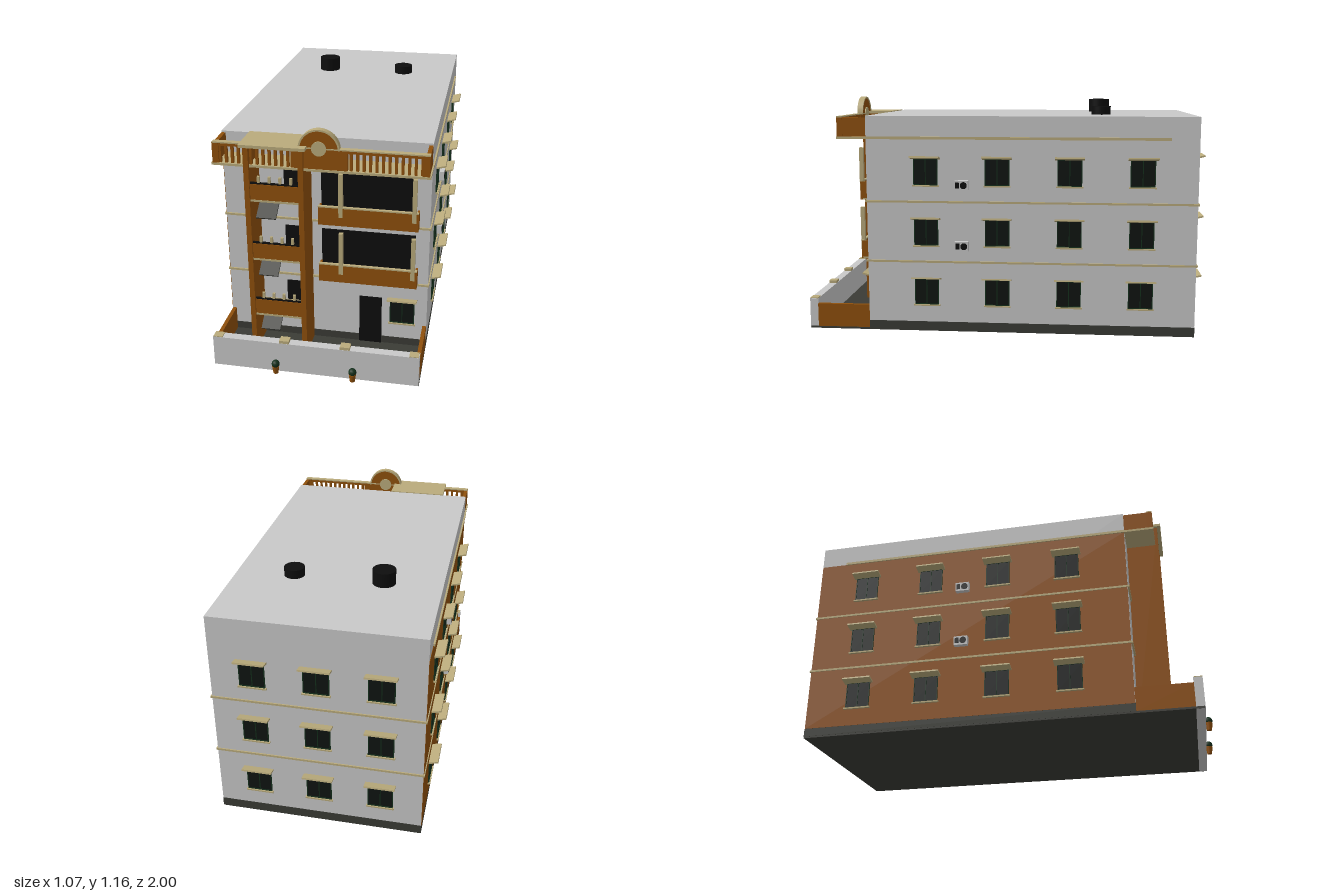
import * as THREE from 'three';

const mat = (name, color) => {
  const m = new THREE.MeshStandardMaterial({ color });
  m.name = name;
  return m;
};

export function createModel() {
  const model = new THREE.Group();
  model.name = 'apartmentBuilding';
  const white = mat('wallWhite', 0xc8c8c8);
  const brown = mat('paintBrown', 0x8f500c);
  const beige = mat('trimBeige', 0xbaab7c);
  const grey = mat('darkGrey', 0x3a3b35);
  const black = mat('black', 0x0e0e0e);
  const glass = mat('glass', 0x0f1411);
  const green = mat('darkGreen', 0x14301c);

  // box given by its limits on each axis
  const box = (name, m, x0, x1, y0, y1, z0, z1, parent = model) => {
    const mesh = new THREE.Mesh(new THREE.BoxGeometry(x1 - x0, y1 - y0, z1 - z0), m);
    mesh.position.set((x0 + x1) / 2, (y0 + y1) / 2, (z0 + z1) / 2);
    mesh.name = name;
    parent.add(mesh);
    return mesh;
  };
  const cylinder = (name, m, rTop, rBottom, h, x, y, z, parent = model) => {
    const mesh = new THREE.Mesh(new THREE.CylinderGeometry(rTop, rBottom, h, 24), m);
    mesh.position.set(x, y + h / 2, z);
    mesh.name = name;
    parent.add(mesh);
    return mesh;
  };
  const floors = [0, 0.3, 0.6];

  // main block, plinth and ground slab
  box('mainBlock', white, -0.49, 0.49, 0.045, 1.075, -0.955, 0.66);
  box('plinth', grey, -0.491, 0.491, 0.008, 0.048, -0.956, 0.661);
  box('groundSlab', grey, -0.49, 0.49, 0, 0.01, -0.955, 0.965);
  box('rightSidePaint', brown, -0.492, -0.489, 0.048, 0.965, -0.954, 0.659);

  // floor bands and cornice
  for (const y of [0.35, 0.65]) box('floorBand', beige, -0.496, 0.496, y, y + 0.01, -0.961, 0.668);
  for (const s of [-1, 1]) {
    const x = s * 0.4935;
    box('sideCornice', beige, x - 0.0045, x + 0.0045, 0.962, 0.975, -0.82, 0.66);
  }
  box('corniceSlab', beige, -0.496, 0.496, 0.962, 0.973, 0.655, 0.805);

  // window with frame, sill and sloping shade, facing +z
  function makeWindow() {
    const g = new THREE.Group();
    g.name = 'window';
    box('pane', glass, -0.056, 0.056, -0.062, 0.064, 0, 0.003, g);
    for (const x of [-0.058, 0, 0.058]) box('frameUpright', green, x - 0.002, x + 0.002, -0.065, 0.066, 0, 0.006, g);
    for (const y of [-0.063, 0.064]) box('frameRail', green, -0.06, 0.06, y - 0.002, y + 0.002, 0, 0.006, g);
    box('sill', beige, -0.066, 0.066, -0.072, -0.065, 0, 0.012, g);
    const shade = box('shade', beige, -0.072, 0.072, 0.067, 0.075, -0.002, 0.046, g);
    shade.rotation.x = -0.24;
    return g;
  }
  const addWindow = (x, y, z, turn) => {
    const w = makeWindow();
    w.position.set(x, y, z);
    w.rotation.y = turn;
    model.add(w);
  };
  for (const f of floors) {
    for (const z of [0.365, 0.013, -0.34, -0.69]) {
      addWindow(0.49, 0.203 + f, z, Math.PI / 2);
      addWindow(-0.492, 0.203 + f, z, -Math.PI / 2);
    }
    for (const x of [-0.293, 0, 0.293]) addWindow(x, 0.203 + f, -0.955, Math.PI);
  }
  addWindow(0.37, 0.2, 0.66, 0);

  // air conditioners
  for (const [s, z] of [[1, 0.187], [-1, -0.167]]) for (const y of [0.415, 0.717]) {
    const unit = new THREE.Group();
    unit.name = 'airConditioner';
    box('casing', white, -0.034, 0.034, 0, 0.047, 0, 0.026, unit);
    const fan = cylinder('fan', black, 0.017, 0.017, 0.004, 0.012, 0.0215, 0.026, unit);
    fan.rotation.x = Math.PI / 2;
    box('grille', black, -0.028, -0.01, 0.01, 0.038, 0.026, 0.028, unit);
    unit.position.set(s * 0.49, y, z);
    unit.rotation.y = s * Math.PI / 2;
    model.add(unit);
  }

  // balconies
  for (const y of [0.355, 0.655]) {
    box('balconyOpening', black, -0.022, 0.425, y + 0.02, y + 0.26, 0.66, 0.664);
    box('balconyFloor', beige, -0.03, 0.44, y, y + 0.008, 0.66, 0.7);
    box('balconyFront', brown, -0.03, 0.44, y, y + 0.09, 0.693, 0.705);
    for (const x of [-0.03, 0.43]) box('balconySide', brown, x, x + 0.01, y, y + 0.09, 0.66, 0.7);
    box('balconyRail', beige, -0.03, 0.44, y + 0.09, y + 0.096, 0.692, 0.708);
    for (const x of [0.067, 0.409]) box('balconyColumn', beige, x, x + 0.02, y + 0.045, y + 0.26, 0.69, 0.71);
  }
  box('frontDoor', black, 0.16, 0.27, 0.01, 0.265, 0.66, 0.665);

  // stair tower
  for (const x of [-0.343, -0.093]) box('towerWall', brown, x, x + 0.024, 0.01, 1.065, 0.66, 0.82);
  box('towerRoof', beige, -0.357, -0.055, 1.065, 1.079, 0.655, 0.838);
  for (const f of floors) {
    box('landing', beige, -0.32, -0.092, 0.197 + f, 0.207 + f, 0.66, 0.812);
    box('landingFront', brown, -0.32, -0.092, 0.207 + f, 0.283 + f, 0.795, 0.811);
    box('landingRail', black, -0.32, -0.092, 0.283 + f, 0.29 + f, 0.798, 0.808);
    for (const x of [-0.28, -0.23, -0.18, -0.13])
      box('railPost', beige, x - 0.006, x + 0.006, 0.29 + f, 0.32 + f, 0.796, 0.808);
    box('stairWindow', black, -0.2, -0.105, 0.21 + f, 0.318 + f, 0.66, 0.664);
    const flight = box('stairFlight', grey, -0.306, -0.212, 0.136 + f, 0.144 + f, 0.665, 0.795);
    flight.rotation.x = 0.64;
  }

  // roof balustrade with central medallion
  for (const s of [-1, 1]) {
    box('cornerBlock', brown, s * 0.475 - 0.015, s * 0.475 + 0.015, 0.973, 1.067, 0.775, 0.803);
    box('sideParapet', brown, s * 0.48 - 0.009, s * 0.48 + 0.009, 0.973, 1.067, 0.655, 0.78);
  }
  box('topRail', brown, -0.48, 0.48, 1.054, 1.067, 0.778, 0.8);
  box('topCap', beige, -0.49, 0.49, 1.067, 1.073, 0.776, 0.803);
  for (let i = 0; i < 12; i++) {
    const x = 0.143 + i * 0.0285;
    for (const c of [x, -x]) box('baluster', brown, c - 0.006, c + 0.006, 0.973, 1.055, 0.782, 0.796);
  }
  box('centrePanel', brown, -0.128, 0.128, 0.973, 1.067, 0.776, 0.801);
  const disc = cylinder('medallion', brown, 0.088, 0.088, 0.022, 0, 0, 0);
  disc.rotation.x = Math.PI / 2;
  disc.position.set(0, 1.067, 0.79);
  const boss = cylinder('medallionCentre', beige, 0.034, 0.034, 0.032, 0, 0, 0);
  boss.rotation.x = Math.PI / 2;
  boss.position.set(0, 1.07, 0.79);
  const arch = new THREE.Shape();
  arch.absarc(0, 0, 0.094, 0, Math.PI, false);
  arch.absarc(0, 0, 0.086, Math.PI, 0, true);
  const rim = new THREE.Mesh(new THREE.ExtrudeGeometry(arch, { depth: 0.03, bevelEnabled: false, curveSegments: 20 }), beige);
  rim.position.set(0, 1.065, 0.775);
  rim.name = 'medallionRim';
  model.add(rim);

  // roof tanks
  cylinder('waterTank', black, 0.055, 0.055, 0.07, -0.216, 1.075, -0.492);
  cylinder('smallWaterTank', black, 0.049, 0.049, 0.042, 0.212, 1.075, -0.492);

  // yard wall, posts and pots
  box('yardFrontWall', white, -0.488, 0.488, 0, 0.153, 0.925, 0.967);
  for (const s of [-1, 1]) {
    box('yardSideWall', brown, s * 0.48 - 0.009, s * 0.48 + 0.009, 0.008, 0.127, 0.66, 0.926);
    box('cornerCap', beige, s * 0.464 - 0.022, s * 0.464 + 0.022, 0.153, 0.157, 0.926, 0.966);
    box('gateCap', beige, s * 0.144 - 0.023, s * 0.144 + 0.023, 0.153, 0.167, 0.926, 0.966);
    cylinder('plantPot', brown, 0.017, 0.012, 0.038, s * 0.183, 0, 0.982);
    const plant = new THREE.Mesh(new THREE.SphereGeometry(0.019, 12, 8), green);
    plant.position.set(s * 0.183, 0.048, 0.981);
    plant.name = 'potPlant';
    model.add(plant);
  }
  return model;
}
